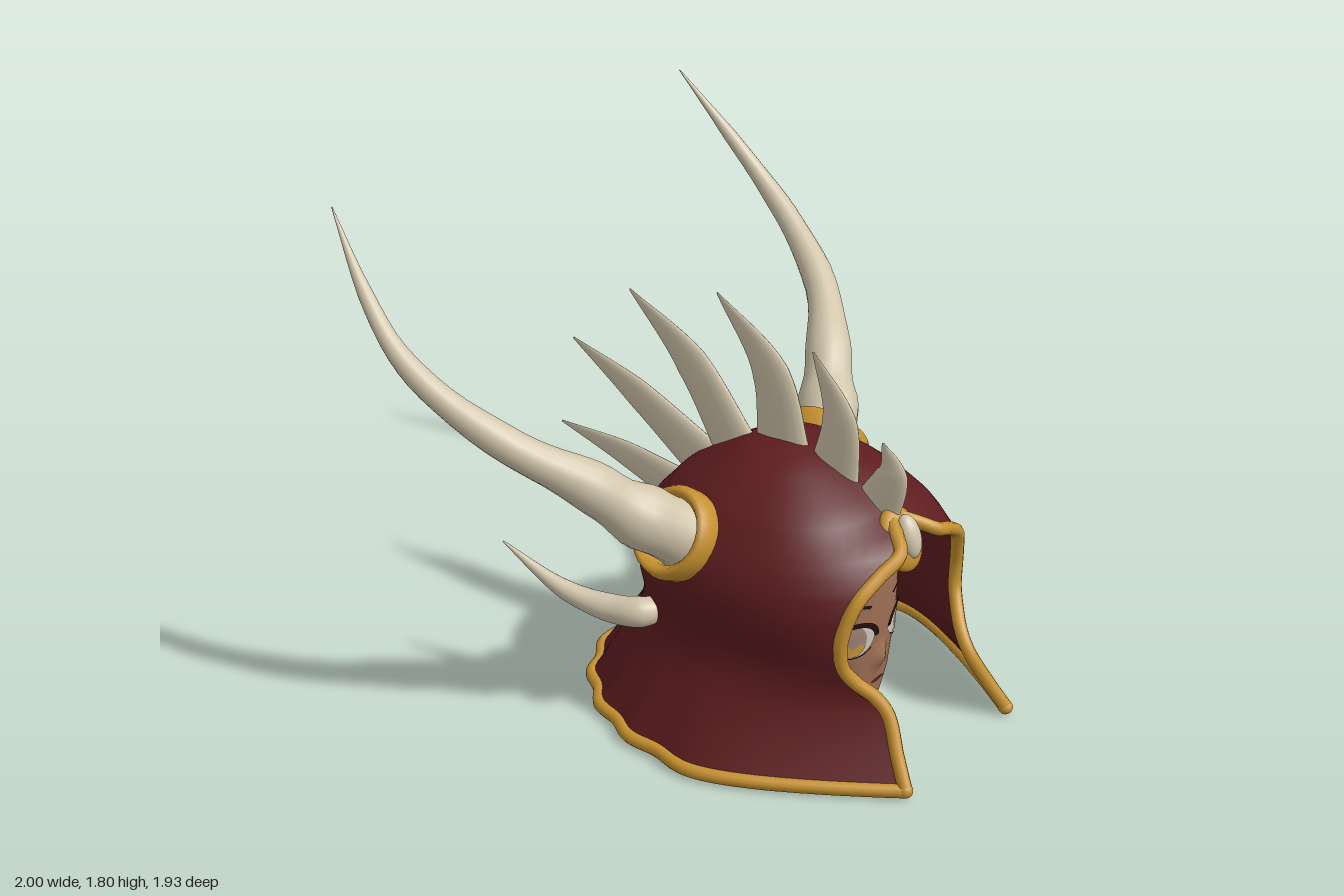
import * as THREE from 'three';

const V = (x, y, z) => new THREE.Vector3(x, y, z);
const mat = (name, color, side = THREE.FrontSide) => {
  const m = new THREE.MeshStandardMaterial({ color, side });
  m.name = name;
  return m;
};

// Surface through equally sized rings of points
function loft(rings, closed) {
  const m = rings[0].length, idx = [];
  for (let i = 0; i < rings.length - 1; i++) {
    for (let j = 0; j < (closed ? m : m - 1); j++) {
      const k = (j + 1) % m, a = i * m + j, b = i * m + k;
      idx.push(a, b, b + m, a, b + m, a + m);
    }
  }
  const g = new THREE.BufferGeometry().setFromPoints(rings.flat());
  g.setIndex(idx);
  g.computeVertexNormals();
  return g;
}

// Tapered spike along [x, y, z, radius] points; flat squeezes it across ref's side axis
function spike(pts, ref, flat = 1, ripple = 0) {
  const curve = new THREE.CatmullRomCurve3(pts.map(p => V(p[0], p[1], p[2])));
  const N = 32, rings = [];
  for (let i = 0; i <= N; i++) {
    const u = i / N, f = u * (pts.length - 1), k = Math.min(Math.floor(f), pts.length - 2);
    const r = THREE.MathUtils.lerp(pts[k][3], pts[k + 1][3], f - k) * (1 + ripple * Math.sin(u * 38) * (1 - u));
    const p = curve.getPoint(u), t = curve.getTangent(u);
    const s = t.clone().cross(ref).normalize(), n = s.clone().cross(t);
    rings.push(Array.from({ length: 16 }, (_, j) => {
      const a = j / 16 * Math.PI * 2;
      return p.clone().addScaledVector(n, r * Math.cos(a)).addScaledVector(s, r * flat * Math.sin(a));
    }));
  }
  rings.unshift(rings[0].map(() => curve.getPoint(0)));
  return loft(rings, true);
}

// Helmet levels: y, opening half width, opening z, half width, back z, front fullness
const SHELL = [
  [0.03, 0.31, 0.94, 0.655, -0.475, 0.25], [0.12, 0.28, 0.885, 0.59, -0.415, 0.27],
  [0.24, 0.245, 0.82, 0.515, -0.345, 0.35], [0.3, 0.26, 0.775, 0.485, -0.305, 0.45],
  [0.36, 0.305, 0.725, 0.465, -0.285, 0.5], [0.42, 0.335, 0.695, 0.46, -0.28, 0.55],
  [0.5, 0.345, 0.69, 0.48, -0.29, 0.57], [0.58, 0.33, 0.7, 0.485, -0.29, 0.6],
  [0.66, 0.29, 0.72, 0.47, -0.275, 0.65], [0.72, 0.2, 0.74, 0.44, -0.245, 0.7],
  [0.765, 0.11, 0.755, 0.405, -0.205, 0.75], [0.8, 0.055, 0.7, 0.375, -0.175, 0.85],
  [0.825, 0, 0.645, 0.355, -0.145, 0.95], [0.84, 0, 0.62, 0.34, -0.12, 1],
  [0.88, 0, 0.56, 0.295, -0.06, 1], [0.94, 0, 0.43, 0.2, 0.04, 1],
  [0.97, 0, 0.34, 0.125, 0.11, 1], [0.985, 0, 0.23, 0.002, 0.22, 1],
];

function shellRing([y, sx, sz, w, zb, full]) {
  const zm = 0.22 + 0.06 * Math.max(0, 1 - y / 0.4), half = [];
  const wave = 0.014 * Math.max(0, 1 - (y - 0.03) / 0.15);
  const front = new THREE.QuadraticBezierCurve(
    new THREE.Vector2(sx, sz), new THREE.Vector2(w, zm + full * (sz - zm)), new THREE.Vector2(w, zm));
  for (let i = 0; i < 12; i++) {
    const p = front.getPoint(i / 12);
    half.push(V(p.x, y, p.y));
  }
  for (let i = 0; i <= 36; i++) {
    const a = i / 36 * Math.PI / 2, k = 1 - wave * (1 - Math.cos(a * 20));
    half.push(V(w * Math.pow(Math.cos(a), 0.92) * k, y, zm - (zm - zb) * Math.pow(Math.sin(a), 0.92) * k));
  }
  half[48].x = 0;
  return [...half, ...half.slice(0, -1).reverse().map(p => V(-p.x, p.y, p.z))];
}

// Head levels: y, half width, middle z, front z, back z
const HEAD = [
  [0.02, 0.005, 0.5, 0.53, 0.47], [0.05, 0.06, 0.48, 0.575, 0.36], [0.1, 0.11, 0.45, 0.595, 0.26],
  [0.18, 0.175, 0.4, 0.605, 0.14], [0.28, 0.225, 0.33, 0.61, 0.02], [0.4, 0.255, 0.27, 0.62, -0.08],
  [0.55, 0.27, 0.25, 0.62, -0.13], [0.68, 0.25, 0.25, 0.6, -0.1], [0.8, 0.15, 0.25, 0.48, 0.02],
  [0.86, 0.005, 0.25, 0.3, 0.22],
];
function headAt(y) {
  let k = 0;
  while (k < HEAD.length - 2 && y > HEAD[k + 1][0]) k++;
  const u = (y - HEAD[k][0]) / (HEAD[k + 1][0] - HEAD[k][0]);
  return HEAD[k].map((v, i) => THREE.MathUtils.lerp(v, HEAD[k + 1][i], u));
}
function faceZ(x, y) {
  const [, w, zm, zf] = headAt(y);
  const round = Math.pow(Math.max(0, 1 - Math.pow(Math.abs(x / w), 2.4)), 1 / 2.4);
  const nose = 0.03 * Math.exp(-((x / 0.03) ** 2) - ((y - 0.27) / 0.04) ** 2);
  return zm + (zf - zm) * round + nose;
}

export function createModel() {
  const red = mat('helmet red', 0x5e1c1f, THREE.DoubleSide);
  const gold = mat('gold trim', 0xc6912f);
  const bone = mat('bone', 0xd0c4aa);
  const skin = mat('skin', 0x9e6f55);
  const white = mat('eye white', 0xd2ccc0);
  const iris = mat('iris brown', 0xa48876);
  const glow = mat('iris gold', 0xd09a3c);
  const dark = mat('lash dark', 0x220e10);
  const lip = mat('lip red', 0x6e2220);

  const model = new THREE.Group();
  const add = (name, geo, m) => {
    const mesh = new THREE.Mesh(geo, m);
    mesh.name = name;
    model.add(mesh);
    return mesh;
  };
  const ball = (name, m, p, s) => {
    const b = add(name, new THREE.SphereGeometry(1, 24, 16), m);
    b.position.set(...p);
    b.scale.set(...s);
    return b;
  };

  // Helmet shell with flared neck guard
  const rings = SHELL.map(shellRing);
  add('helmetShell', loft(rings, false), red);

  // Gold edging around the face opening and the brim
  const side = SHELL.slice(0, 13).map(r => V(r[1], r[0], r[2]));
  const arch = [...side, ...side.slice(0, -1).reverse().map(p => V(-p.x, p.y, p.z))];
  const tube = (pts, n, r) => new THREE.TubeGeometry(new THREE.CatmullRomCurve3(pts), n, r, 10);
  add('openingTrim', tube(arch, 120, 0.024), gold);
  add('brimTrim', tube(rings[0].map(p => V(p.x, 0.025, p.z)), 240, 0.024), gold);
  for (const s of [1, -1]) ball('trimCorner', gold, [s * 0.31, 0.027, 0.94], [0.026, 0.026, 0.026]);

  // Brow ornament
  ball('browSetting', gold, [0, 0.75, 0.68], [0.092, 0.115, 0.05]).rotation.x = -0.45;
  ball('browStone', bone, [0, 0.77, 0.715], [0.043, 0.078, 0.04]).rotation.x = -0.3;

  // Crest spikes: base, middle and tip as z, y, radius
  const crest = [
    [[0.58, 0.82, 0.09], [0.64, 0.98, 0.06], [0.6, 1.08, 0.004]],
    [[0.41, 0.9, 0.1], [0.425, 1.11, 0.07], [0.315, 1.325, 0.004]],
    [[0.2, 0.93, 0.11], [0.14, 1.2, 0.08], [-0.085, 1.43, 0.004]],
    [[0, 0.87, 0.1], [-0.2, 1.14, 0.075], [-0.47, 1.34, 0.004]],
    [[-0.13, 0.77, 0.1], [-0.45, 0.95, 0.062], [-0.74, 1.08, 0.004]],
    [[-0.22, 0.62, 0.09], [-0.5, 0.685, 0.055], [-0.81, 0.725, 0.004]],
    [[-0.24, 0.41, 0.09], [-0.48, 0.4, 0.06], [-0.685, 0.39, 0.004]],
  ];
  for (const c of crest) {
    const pts = c.map(([z, y, r]) => [0, y, z, r]);
    const d = V(0, c[2][1] - c[0][1], c[2][0] - c[0][0]);
    add('crestSpike', spike(pts, d.cross(V(1, 0, 0)), 0.31), bone);
  }

  for (const s of [1, -1]) {
    // Large horn
    const horn = [[0.34, 0.7, 0.1, 0.115], [0.46, 0.785, 0.05, 0.115], [0.56, 0.87, -0.02, 0.1],
      [0.67, 0.985, -0.1, 0.08], [0.83, 1.125, -0.25, 0.06], [0.935, 1.28, -0.46, 0.047],
      [0.965, 1.41, -0.62, 0.036], [0.945, 1.57, -0.77, 0.025], [0.885, 1.8, -0.96, 0.002]];
    add('largeHorn', spike(horn.map(([x, y, z, r]) => [s * x, y, z, r]), V(0, 1, 0.9), 1, 0.08), bone);

    // Gold socket ring
    const profile = [[0.11, -0.07], [0.14, -0.07], [0.158, -0.03], [0.162, 0.02], [0.15, 0.05],
      [0.13, 0.055], [0.112, 0.03], [0.11, -0.07]].map(p => new THREE.Vector2(...p));
    const ring = add('hornSocket', new THREE.LatheGeometry(profile, 32), gold);
    ring.position.set(s * 0.42, 0.745, 0.07);
    ring.quaternion.setFromUnitVectors(V(0, 1, 0), V(s * 0.8, 0.52, -0.12).normalize());

    // Small hooked side horn
    const hook = [[0.37, 0.39, -0.045, 0.045], [0.43, 0.385, -0.09, 0.055], [0.465, 0.38, -0.2, 0.05],
      [0.515, 0.42, -0.36, 0.034], [0.565, 0.55, -0.59, 0.003]];
    add('sideHorn', spike(hook.map(([x, y, z, r]) => [s * x, y, z, r]), V(0, 1, 0)), bone);
  }

  // Head
  const headRings = [];
  for (let i = 0; i <= 42; i++) {
    const y = 0.02 + 0.02 * i, [, w, zm, , zb] = headAt(y);
    headRings.push(Array.from({ length: 64 }, (_, j) => {
      const a = j / 64 * Math.PI * 2, x = w * Math.sin(a), c = Math.cos(a);
      return V(x, y, c >= 0 ? faceZ(x, y) : zm + (zm - zb) * c);
    }));
  }
  add('head', loft(headRings, true), skin);

  // Painted face details laid onto the head surface
  const paint = (name, m, cx, cy, rx, ry, lift, inner = 0.01, start = 0, len = Math.PI * 2) => {
    const g = new THREE.RingGeometry(inner, 1, 32, 5, start, len), p = g.attributes.position;
    for (let i = 0; i < p.count; i++) {
      const x = cx + p.getX(i) * rx, y = cy + p.getY(i) * ry;
      p.setXYZ(i, x, y, faceZ(x, y) + lift);
    }
    g.computeVertexNormals();
    add(name, g, m);
  };
  for (const s of [1, -1]) {
    const x = s * 0.125;
    paint('eyeWhite', white, x, 0.37, 0.085, 0.062, 0.003);
    paint('iris', iris, x, 0.37, 0.046, 0.06, 0.005);
    paint('irisGlow', glow, x, 0.37, 0.045, 0.058, 0.007, 0.4, Math.PI * 1.12, Math.PI * 0.76);
    paint('upperLash', dark, x, 0.37, 0.1, 0.078, 0.009, 0.76, 0.05, Math.PI - 0.1);
    paint('lowerLash', dark, x, 0.37, 0.088, 0.066, 0.006, 0.93, Math.PI * 1.2, Math.PI * 0.6);
    paint('eyebrow', dark, x, 0.46, 0.09, 0.05, 0.004, 0.8, 0.75, Math.PI - 1.5);
  }
  paint('mouth', lip, 0, 0.172, 0.035, 0.008, 0.004);
  return model;
}
